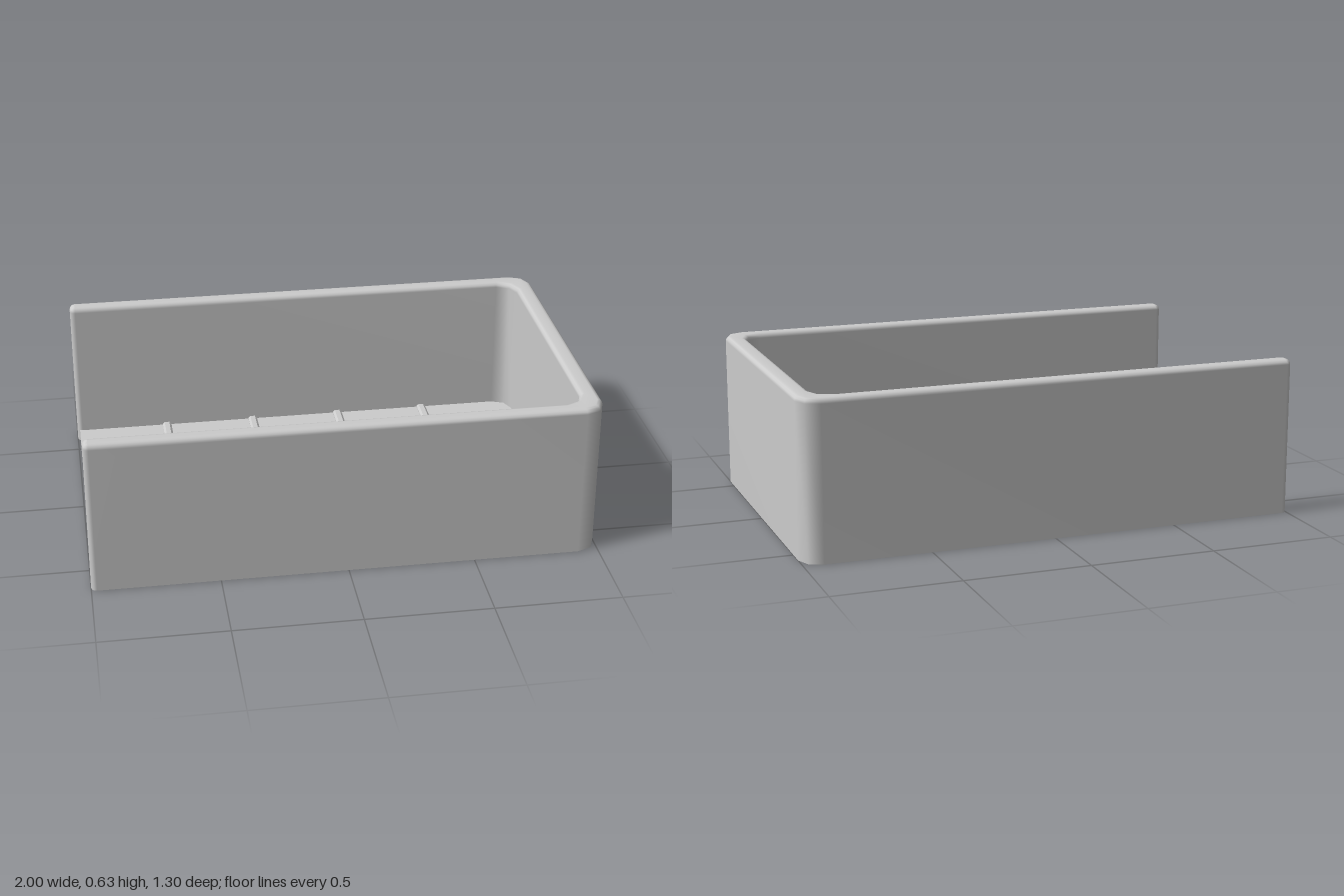
import * as THREE from 'three';

const HEIGHT = 0.63, HALF_WIDTH = 0.65, INNER_Z = 0.58, INNER_X = 0.925;
const BEVEL = 0.02, FLOOR_TOP = 0.05;

const material = new THREE.MeshStandardMaterial({ color: 0xcccccc });

function addMesh(group, name, geometry) {
  const mesh = new THREE.Mesh(geometry, material);
  mesh.name = name;
  group.add(mesh);
  return mesh;
}

// Outline whose right-angled corners [x, y, radius, segments] are rounded.
function roundedOutline(corners) {
  const points = [];
  corners.forEach(([x, y, r, segments], i) => {
    const p = new THREE.Vector2(x, y);
    const toward = (c) => new THREE.Vector2(c[0], c[1]).sub(p).normalize();
    const a = toward(corners[(i + corners.length - 1) % corners.length]);
    const b = toward(corners[(i + 1) % corners.length]);
    const centre = p.clone().addScaledVector(a, r).addScaledVector(b, r);
    for (let s = 0; s <= segments; s++) {
      const t = (s / segments) * Math.PI / 2;
      points.push(centre.clone()
        .addScaledVector(b, -r * Math.cos(t))
        .addScaledVector(a, -r * Math.sin(t)));
    }
  });
  return new THREE.Shape(points);
}

// Area-weighted smooth normals, kept sharp beyond the crease angle.
function creaseNormals(source, angle) {
  const geometry = source.index ? source.toNonIndexed() : source;
  const pos = geometry.attributes.position, normal = geometry.attributes.normal;
  const vertex = (i) => new THREE.Vector3().fromBufferAttribute(pos, i);
  const key = (i) => vertex(i).toArray().map((v) => Math.round(v * 1e4)).join();
  const faces = [], around = new Map();
  for (let i = 0; i < pos.count; i += 3) {
    const a = vertex(i);
    const area = vertex(i + 1).sub(a).cross(vertex(i + 2).sub(a));
    const face = { area, unit: area.clone().normalize() };
    faces.push(face);
    for (let k = i; k < i + 3; k++) {
      if (!around.has(key(k))) around.set(key(k), []);
      around.get(key(k)).push(face);
    }
  }
  for (let i = 0; i < pos.count; i++) {
    const own = faces[Math.floor(i / 3)].unit, sum = new THREE.Vector3();
    for (const face of around.get(key(i))) {
      if (face.unit.dot(own) > Math.cos(angle)) sum.add(face.area);
    }
    sum.normalize();
    normal.setXYZ(i, sum.x, sum.y, sum.z);
  }
  return geometry;
}

// U-shaped wall, open at -x, with a rounded rim and a flat foot.
function wallGeometry() {
  const end = [0.022, 3];
  const shape = roundedOutline([
    [-1, -HALF_WIDTH, ...end], [1, -HALF_WIDTH, 0.08, 2],
    [1, HALF_WIDTH, 0.08, 2], [-1, HALF_WIDTH, ...end],
    [-1, INNER_Z, ...end], [INNER_X, INNER_Z, 0.075, 2],
    [INNER_X, -INNER_Z, 0.075, 2], [-1, -INNER_Z, ...end],
  ]);
  const geometry = new THREE.ExtrudeGeometry(shape, {
    depth: HEIGHT - BEVEL, bevelThickness: BEVEL, bevelSize: BEVEL,
    bevelOffset: -BEVEL, bevelSegments: 3,
  });
  geometry.rotateX(-Math.PI / 2);
  // Flatten the lower bevel onto the ground
  const pos = geometry.attributes.position;
  for (let i = 0; i < pos.count; i++) pos.setY(i, Math.max(0, pos.getY(i)));
  return creaseNormals(geometry, 0.9);
}

// Low raised rib running across the floor.
function ribGeometry() {
  const shape = new THREE.Shape([
    new THREE.Vector2(-0.019, -0.01), new THREE.Vector2(0.019, -0.01),
    new THREE.Vector2(0.019, 0.004), new THREE.Vector2(0.01, 0.012),
    new THREE.Vector2(-0.01, 0.012), new THREE.Vector2(-0.019, 0.004),
  ]);
  const width = 2 * INNER_Z + 0.02;
  return new THREE.ExtrudeGeometry(shape, { depth: width, bevelEnabled: false })
    .translate(0, 0, -width / 2);
}

export function createModel() {
  const model = new THREE.Group();
  model.name = 'openBed';

  addMesh(model, 'sideAndEndWalls', wallGeometry());

  // Floor plate, slightly set back from the open end
  const floor = addMesh(model, 'floor', new THREE.BoxGeometry(1.945, FLOOR_TOP, 1.22));
  floor.position.set(-0.0175, FLOOR_TOP / 2, 0);

  // Evenly spaced cross ribs
  const rib = ribGeometry();
  for (let i = 0; i < 4; i++) {
    addMesh(model, 'floorRib' + (i + 1), rib).position.set(-0.609 + i * 0.379, FLOOR_TOP, 0);
  }
  return model;
}
